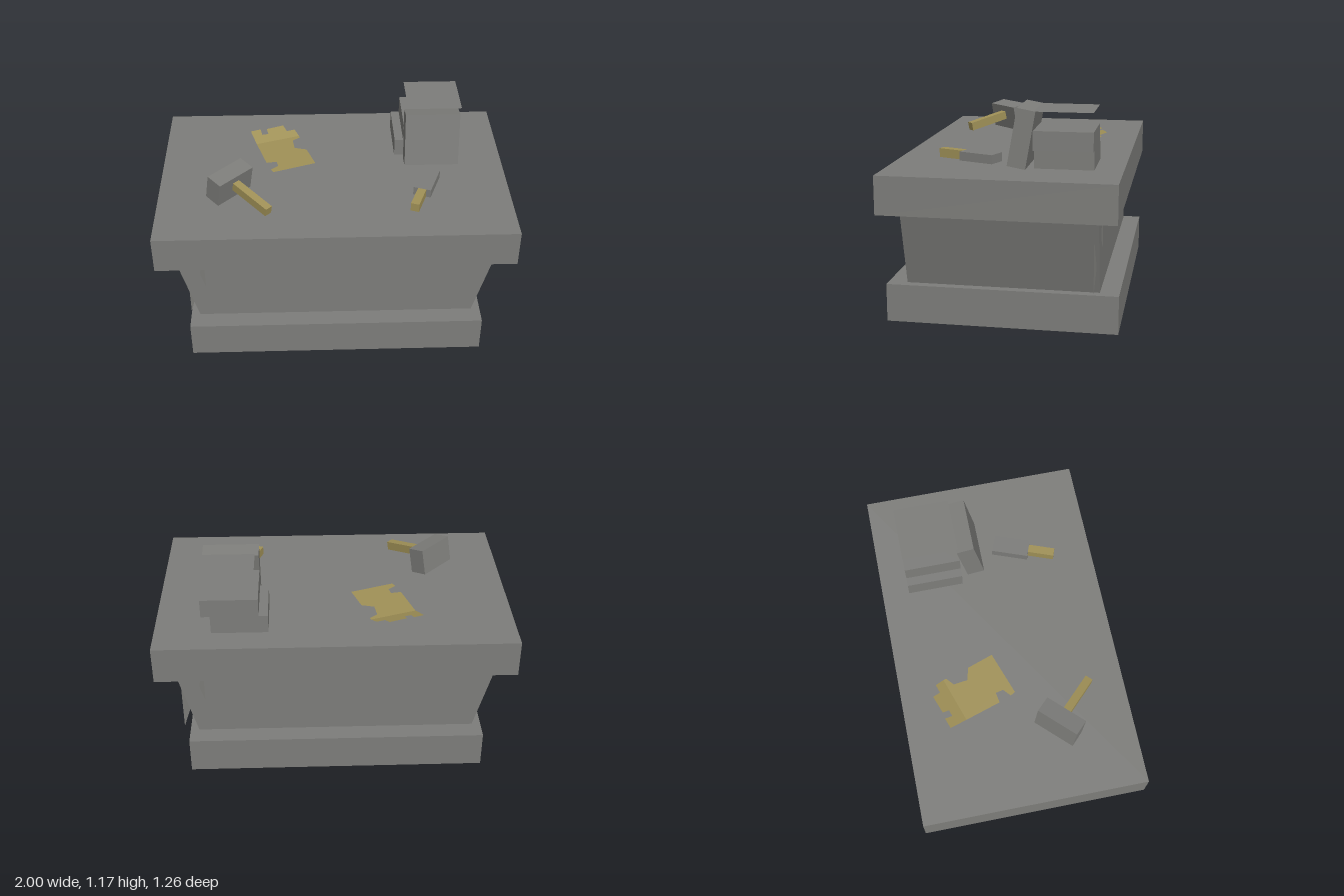
import * as THREE from 'three';

export function createModel() {
  const root = new THREE.Group();
  const mat = (name, color, side = THREE.FrontSide) => {
    const m = new THREE.MeshStandardMaterial({ color, side });
    m.name = name;
    return m;
  };
  const stone = mat('stone grey', 0x7d7d7a, THREE.DoubleSide);
  const wood = mat('ochre', 0xa09157, THREE.DoubleSide);

  const add = (parent, name, geo, material, x = 0, y = 0, z = 0) => {
    const mesh = new THREE.Mesh(geo, material);
    mesh.name = name;
    mesh.position.set(x, y, z);
    parent.add(mesh);
    return mesh;
  };
  const box = (parent, name, material, w, h, d, x, y, z) =>
    add(parent, name, new THREE.BoxGeometry(w, h, d), material, x, y, z);
  const polygon = pts => new THREE.ShapeGeometry(new THREE.Shape(pts.map(p => new THREE.Vector2(...p))));

  // Bench: base, flared body and top slab
  box(root, 'base', stone, 1.68, 0.21, 1.26, 0, 0.105, 0);
  const body = new THREE.BoxGeometry(1, 0.425, 1.05);
  const bp = body.attributes.position;
  for (let i = 0; i < bp.count; i++) bp.setX(i, Math.sign(bp.getX(i)) * (bp.getY(i) > 0 ? 0.905 : 0.79));
  body.computeVertexNormals();
  add(root, 'body', body, stone, 0, 0.4225, 0);
  box(root, 'topSlab', stone, 2, 0.21, 1.26, 0, 0.74, 0);

  // Torn flaps poking out of two opposite corners, given as (x, y)
  const flap = (name, pts, side) => {
    const geo = polygon(pts);
    const p = geo.attributes.position;
    const outer = Math.abs(pts[0][0]);
    for (let i = 0; i < p.count; i++)
      p.setZ(i, side * (0.5 + (outer - Math.abs(p.getX(i))) * 0.23 + (outer < 0.86 ? 0.008 : 0)));
    geo.computeVertexNormals();
    add(root, name, geo, stone);
  };
  flap('frontFlap', [[-0.84, 0.22], [-0.815, 0.31], [-0.79, 0.22], [-0.77, 0.52], [-0.74, 0.43],
    [-0.74, 0.62], [-0.77, 0.52], [-0.8, 0.6], [-0.84, 0.45]], 1);
  flap('backFlap', [[0.875, 0.22], [0.83, 0.36], [0.77, 0.52], [0.74, 0.43],
    [0.74, 0.62], [0.77, 0.53], [0.875, 0.53]], -1);

  // Hammer lying with its handle sloping down
  const hammer = new THREE.Group();
  hammer.name = 'hammer';
  hammer.position.set(-0.593, 0.93, 0.214);
  hammer.rotation.set(0.195, 0.8, 0, 'YXZ');
  box(hammer, 'hammerHead', stone, 0.25, 0.15, 0.1, 0, 0, 0);
  box(hammer, 'hammerHandle', wood, 0.045, 0.05, 0.27, 0, 0.012, 0.18);
  root.add(hammer);

  // Chisel lying flat
  const chisel = new THREE.Group();
  chisel.name = 'chisel';
  chisel.position.set(0.532, 0.87, 0.168);
  chisel.rotation.y = -0.36;
  box(chisel, 'chiselBlade', stone, 0.102, 0.05, 0.21, 0, 0, 0);
  box(chisel, 'chiselHandle', wood, 0.048, 0.05, 0.152, 0, 0, 0.181);
  root.add(chisel);

  // Stacked blocks, loose sheet above, and a slab leaning on them
  box(root, 'lowerBlock', stone, 0.315, 0.105, 0.32, 0.528, 0.8975, -0.315);
  box(root, 'upperBlock', stone, 0.315, 0.105, 0.32, 0.578, 1.0025, -0.315);
  const sheet = add(root, 'sheet', new THREE.PlaneGeometry(0.315, 0.315), stone, 0.6, 1.16, -0.318);
  sheet.rotation.x = -Math.PI / 2;
  const slab = box(root, 'leaningSlab', stone, 0.315, 0.315, 0.1, 0.578, 1.01, -0.093);
  slab.rotation.x = -0.175;

  // Tattered parchment, outlines given as (x, z); the far strip curls up from its fold
  const parchment = (name, pts, slope) => {
    const geo = polygon(pts.map(([x, z]) => [x, -z]));
    geo.rotateX(-Math.PI / 2);
    const p = geo.attributes.position;
    for (let i = 0; i < p.count; i++) {
      const d = -((p.getX(i) + 0.457) * 0.314 + (p.getZ(i) + 0.289) * 0.949);
      p.setY(i, 0.849 + Math.max(0, d) * slope);
    }
    geo.computeVertexNormals();
    add(root, name, geo, wood);
  };
  parchment('parchment', [[-0.457, -0.289], [-0.2, -0.374], [-0.195, -0.358], [-0.238, -0.321],
    [-0.227, -0.241], [-0.155, -0.222], [-0.104, -0.075], [-0.35, 0.011], [-0.366, -0.016],
    [-0.324, -0.053], [-0.334, -0.096], [-0.393, -0.086]], 0);
  parchment('parchmentCurl', [[-0.457, -0.289], [-0.495, -0.385], [-0.436, -0.406], [-0.425, -0.364],
    [-0.388, -0.374], [-0.398, -0.412], [-0.297, -0.449], [-0.275, -0.406], [-0.227, -0.422],
    [-0.2, -0.374]], 0.3);

  return root;
}
